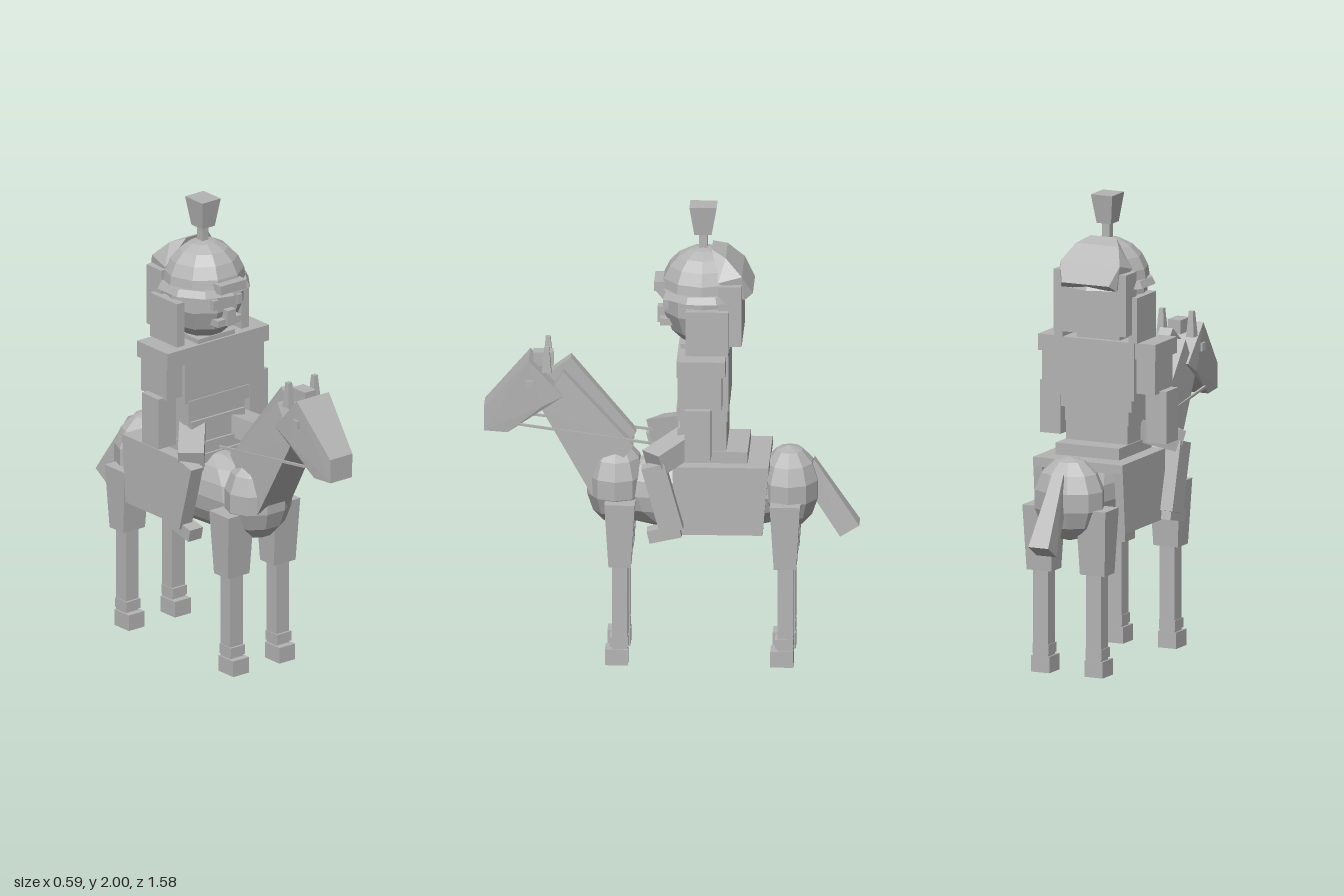
import * as THREE from 'three';
import { ConvexGeometry } from 'three/addons/geometries/ConvexGeometry.js';

export function createModel() {
  const root = new THREE.Group();
  const horse = new THREE.Group(), rider = new THREE.Group();
  horse.name = 'horse';
  rider.name = 'rider';
  root.add(horse, rider);
  const stone = new THREE.MeshStandardMaterial({ color: 0xb4b4b4, flatShading: true });
  stone.name = 'plain grey';

  const add = (parent, name, geo) => {
    const m = new THREE.Mesh(geo, stone);
    m.name = name;
    parent.add(m);
    return m;
  };
  // box given by its min and max on each axis
  const box = (p, name, x0, x1, y0, y1, z0, z1) => {
    const m = add(p, name, new THREE.BoxGeometry(x1 - x0, y1 - y0, z1 - z0));
    m.position.set((x0 + x1) / 2, (y0 + y1) / 2, (z0 + z1) / 2);
    return m;
  };
  // side profile of [z, y, halfWidth], mirrored across x and hulled
  const slab = (p, name, pts, cx = 0) => add(p, name, new ConvexGeometry(
    pts.flatMap(([z, y, w]) => [new THREE.Vector3(cx + w, y, z), new THREE.Vector3(cx - w, y, z)])));
  // faceted ellipsoid
  const ball = (p, name, y, z, rx, ry, rz, ws = 10, hs = 7) => {
    const m = add(p, name, new THREE.SphereGeometry(1, ws, hs));
    m.scale.set(rx, ry, rz);
    m.position.set(0, y, z);
    return m;
  };
  // box running from a to b
  const beam = (p, name, a, b, w, h) => {
    const A = new THREE.Vector3(...a), B = new THREE.Vector3(...b);
    const m = add(p, name, new THREE.BoxGeometry(w, h, A.distanceTo(B)));
    m.position.copy(A).lerp(B, 0.5);
    m.lookAt(B);
    return m;
  };

  // horse body
  ball(horse, 'chest', 0.765, 0.235, 0.155, 0.185, 0.13);
  ball(horse, 'rump', 0.755, -0.495, 0.16, 0.18, 0.13);
  ball(horse, 'belly', 0.73, -0.13, 0.14, 0.175, 0.46, 10, 8);
  slab(horse, 'neck', [[0.55, 1.11, 0.075], [0.455, 1.27, 0.075], [0.16, 0.95, 0.09], [0.33, 0.72, 0.085]]);
  slab(horse, 'mane', [[0.525, 1.245, 0.03], [0.425, 1.32, 0.03], [0.15, 0.99, 0.03], [0.2, 0.93, 0.03]]);
  slab(horse, 'horseHead', [[0.6, 1.32, 0.087], [0.455, 1.165, 0.087], [0.54, 1.12, 0.085],
    [0.69, 0.995, 0.065], [0.79, 1.0, 0.058], [0.79, 1.105, 0.06]]);
  box(horse, 'forelock', -0.03, 0.03, 1.28, 1.34, 0.5, 0.585);
  slab(horse, 'tail', [[-0.6, 0.88, 0.025], [-0.56, 0.77, 0.025], [-0.71, 0.545, 0.047], [-0.79, 0.595, 0.047]]);

  for (const s of [-1, 1]) {
    // ears and eyes
    slab(horse, 'ear', [[0.545, 1.27, 0.018], [0.505, 1.27, 0.018], [0.535, 1.38, 0.01], [0.515, 1.38, 0.01]], s * 0.07);
    box(horse, 'horseEye', s * 0.08 - 0.013, s * 0.08 + 0.013, 1.198, 1.233, 0.577, 0.613);
    // legs
    for (const z of [0.213, -0.483]) {
      const x = s * 0.125;
      slab(horse, 'upperLeg', [[z + 0.064, 0.72, 0.07], [z - 0.064, 0.72, 0.07],
        [z - 0.047, 0.44, 0.058], [z + 0.047, 0.44, 0.058]], x);
      box(horse, 'lowerLeg', x - 0.035, x + 0.035, 0.06, 0.45, z - 0.033, z + 0.033);
      box(horse, 'fetlock', x - 0.038, x + 0.038, 0.08, 0.122, z - 0.034, z + 0.043);
      box(horse, 'hoof', x - 0.043, x + 0.043, 0, 0.07, z - 0.034, z + 0.063);
    }
    // saddle cloth sides
    slab(horse, 'saddleFlap', [[-0.01, 0.9, 0.02], [-0.415, 0.9, 0.02],
      [-0.39, 0.6, 0.02], [-0.02, 0.6, 0.02]], s * 0.19);
    // reins
    beam(horse, 'rein', [s * 0.075, 1.035, 0.64], [s * 0.09, 0.965, 0.09], 0.01, 0.01);
  }
  box(horse, 'saddleTop', -0.21, 0.21, 0.86, 0.9, -0.415, -0.01);
  box(horse, 'saddleSeat', -0.15, 0.15, 0.89, 0.95, -0.325, -0.02);

  // rider torso
  box(rider, 'hips', -0.145, 0.145, 0.93, 1.05, -0.235, -0.03);
  box(rider, 'waist', -0.15, 0.15, 1.03, 1.1, -0.235, -0.04);
  box(rider, 'belt', -0.165, 0.165, 1.09, 1.15, -0.24, -0.025);
  box(rider, 'chestPlate', -0.18, 0.18, 1.14, 1.39, -0.245, -0.03);
  box(rider, 'collar', -0.1, 0.1, 1.37, 1.41, -0.22, -0.04);

  for (const s of [-1, 1]) {
    const sideBox = (name, x0, x1, ...r) => box(rider, name, Math.min(s * x0, s * x1), Math.max(s * x0, s * x1), ...r);
    // arms
    sideBox('shoulder', 0.17, 0.275, 1.32, 1.39, -0.235, -0.03);
    sideBox('upperArm', 0.17, 0.265, 1.17, 1.33, -0.22, -0.05);
    sideBox('forearm', 0.2, 0.297, 0.955, 1.18, -0.175, -0.065);
    // legs
    beam(rider, 'thigh', [s * 0.1, 0.99, -0.08], [s * 0.23, 0.925, 0.07], 0.11, 0.095);
    beam(rider, 'shin', [s * 0.235, 0.92, 0.07], [s * 0.235, 0.63, -0.01], 0.065, 0.1);
    beam(rider, 'boot', [s * 0.22, 0.63, -0.045], [s * 0.22, 0.6, 0.09], 0.07, 0.055);
    // side hair and eyes
    sideBox('sideHair', 0.155, 0.195, 1.39, 1.585, -0.245, -0.065);
    sideBox('eye', 0.05, 0.078, 1.555, 1.598, -0.02, 0.035);
  }

  // head
  ball(rider, 'head', 1.585, -0.132, 0.175, 0.21, 0.175);
  box(rider, 'nose', -0.022, 0.022, 1.48, 1.55, 0, 0.06);
  box(rider, 'moustache', -0.065, 0.065, 1.48, 1.51, -0.02, 0.048);
  box(rider, 'backHair', -0.17, 0.17, 1.425, 1.69, -0.3, -0.2);

  // helmet
  const dome = add(rider, 'helmetDome', new THREE.SphereGeometry(1, 10, 5, 0, Math.PI * 2, 0, Math.PI / 2));
  dome.scale.set(0.182, 0.185, 0.182);
  dome.position.set(0, 1.63, -0.132);
  const brim = add(rider, 'helmetBrim', new THREE.CylinderGeometry(0.19, 0.205, 0.03, 10));
  brim.position.set(0, 1.632, -0.132);
  slab(rider, 'neckGuard', [[-0.17, 1.82, 0.06], [-0.23, 1.795, 0.1], [-0.3, 1.725, 0.14],
    [-0.345, 1.645, 0.11], [-0.31, 1.62, 0.13], [-0.2, 1.7, 0.15]]);
  box(rider, 'helmetBadge', -0.07, 0.07, 1.635, 1.675, -0.02, 0.073);
  box(rider, 'plumeStem', -0.017, 0.017, 1.79, 1.88, -0.15, -0.115);
  slab(rider, 'plume', [[-0.095, 1.875, 0.034], [-0.168, 1.875, 0.034], [-0.19, 2, 0.05], [-0.075, 2, 0.05]]);

  return root;
}
